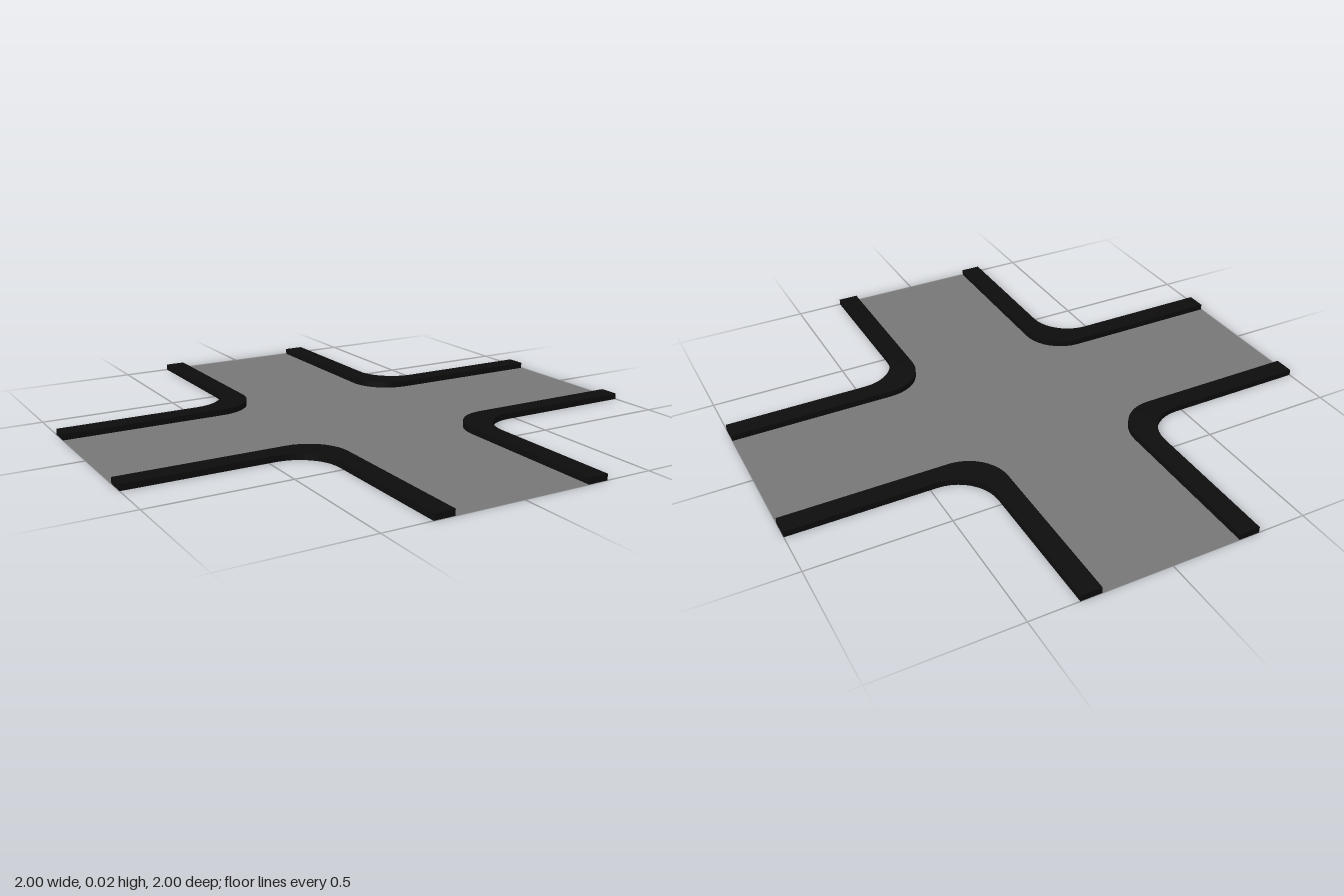
import * as THREE from 'three';

const INNER = 0.25;   // half width of the carriageway
const OUTER = 0.325;  // outside face of the kerbs
const RADIUS = 0.15;  // rounding at the junction corners
const HEIGHT = 0.022; // kerb height
const SEGMENTS = 10;

// Edge of one quadrant: along +x, round the corner, then along +y
function cornerEdge(offset) {
  const c = offset + RADIUS;
  const points = [new THREE.Vector2(1, offset)];
  for (let i = 0; i <= SEGMENTS; i++) {
    const t = (i / SEGMENTS) * Math.PI / 2;
    points.push(new THREE.Vector2(c - RADIUS * Math.sin(t), c - RADIUS * Math.cos(t)));
  }
  points.push(new THREE.Vector2(offset, 1));
  return points;
}

export function createModel() {
  const model = new THREE.Group();
  model.name = 'crossroads';

  const roadMaterial = new THREE.MeshStandardMaterial({ color: 0x777777, side: THREE.DoubleSide });
  const kerbMaterial = new THREE.MeshStandardMaterial({ color: 0x0d0d0d });

  // Flat road sheet: the quadrant edge turned four times
  const outline = [];
  const origin = new THREE.Vector2();
  for (let i = 0; i < 4; i++) {
    for (const p of cornerEdge(INNER)) outline.push(p.rotateAround(origin, i * Math.PI / 2));
  }
  const roadGeometry = new THREE.ShapeGeometry(new THREE.Shape(outline));
  roadGeometry.rotateX(-Math.PI / 2);
  const road = new THREE.Mesh(roadGeometry, roadMaterial);
  road.name = 'road';
  model.add(road);

  // Raised kerb around each corner
  const kerbShape = new THREE.Shape([...cornerEdge(INNER), ...cornerEdge(OUTER).reverse()]);
  const kerbGeometry = new THREE.ExtrudeGeometry(kerbShape, { depth: HEIGHT, bevelEnabled: false });
  kerbGeometry.rotateX(-Math.PI / 2);
  ['backLeftKerb', 'backRightKerb', 'frontRightKerb', 'frontLeftKerb'].forEach((name, i) => {
    const kerb = new THREE.Mesh(kerbGeometry, kerbMaterial);
    kerb.name = name;
    kerb.rotation.y = i * Math.PI / 2;
    model.add(kerb);
  });

  return model;
}
